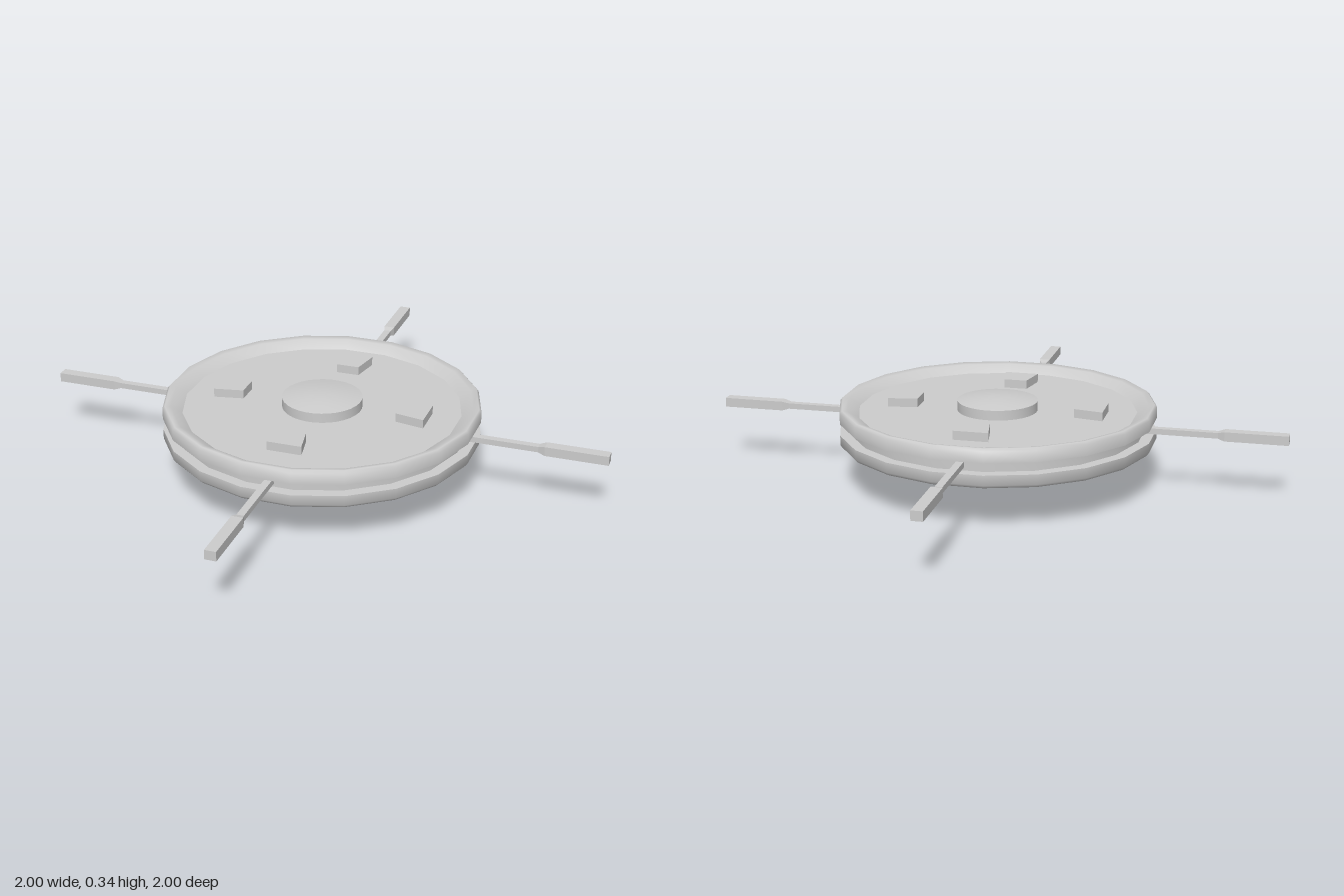
import * as THREE from 'three';
import { toCreasedNormals } from 'three/addons/utils/BufferGeometryUtils.js';

const grey = new THREE.MeshStandardMaterial({ color: 0xcccccc });

function add(parent, name, geometry) {
  const mesh = new THREE.Mesh(geometry, grey);
  mesh.name = name;
  parent.add(mesh);
  return mesh;
}

// Turned part: profile runs from bottom to top as [radius, y]
function turned(profile, sides) {
  const points = profile.map(([r, y]) => new THREE.Vector2(r, y));
  return toCreasedNormals(new THREE.LatheGeometry(points, sides), 1.1);
}

// Square bar along +z, w0 x h0 at z0 and w1 x h1 at z1
function bar(z0, w0, h0, z1, w1, h1) {
  const geo = new THREE.BoxGeometry(1, 1, 1);
  const p = geo.attributes.position;
  for (let i = 0; i < p.count; i++) {
    const end = p.getZ(i) > 0;
    p.setXYZ(i, p.getX(i) * (end ? w1 : w0), p.getY(i) * (end ? h1 : h0), end ? z1 : z0);
  }
  geo.computeVertexNormals();
  return geo;
}

export function createModel() {
  const model = new THREE.Group();
  model.name = 'spokedDisc';

  // Shaft below the disc
  add(model, 'shaft', turned([[0, 0], [0.06, 0], [0.06, 0.2], [0, 0.2]], 20));

  // Lower plate, recessed core and upper rim with a sunken panel
  add(model, 'lowerPlate', turned([
    [0, 0.163], [0.54, 0.165], [0.602, 0.17], [0.612, 0.182], [0.612, 0.22], [0.5, 0.22]], 20));
  add(model, 'core', turned([[0.57, 0.2], [0.57, 0.28]], 20));
  add(model, 'upperRim', turned([
    [0.5, 0.265], [0.612, 0.265], [0.612, 0.308], [0.603, 0.318], [0.58, 0.313], [0.537, 0.285]], 20));
  add(model, 'topPanel', turned([[0.537, 0.285], [0, 0.285]], 20));

  // Domed hub cap
  add(model, 'hubCap', turned([
    [0.155, 0.28], [0.155, 0.323], [0.105, 0.332], [0.05, 0.338], [0, 0.34]], 32));

  // Wedge-shaped block outline, wider towards the rim
  const outline = new THREE.Shape([[-0.045, 0.308], [0.045, 0.308], [0.067, 0.421], [-0.067, 0.421]]
    .map(([x, y]) => new THREE.Vector2(x, y)));
  const blockGeo = new THREE.ExtrudeGeometry(outline, { depth: 0.04, bevelEnabled: false });
  blockGeo.rotateX(Math.PI / 2).translate(0, 0.319, 0);

  // Four spokes, each in line with a block
  for (let i = 0; i < 4; i++) {
    const quarter = new THREE.Group();
    quarter.name = 'spokeAndBlock' + (i + 1);
    quarter.rotation.y = THREE.MathUtils.degToRad(27.3) + i * Math.PI / 2;
    add(quarter, 'block', blockGeo);
    const spoke = new THREE.Group();
    spoke.name = 'spoke';
    spoke.position.y = 0.243;
    add(spoke, 'spokeRod', bar(0.5, 0.028, 0.022, 0.855, 0.028, 0.022));
    add(spoke, 'spokeCollar', bar(0.85, 0.028, 0.022, 0.875, 0.043, 0.036));
    add(spoke, 'spokeTip', bar(0.875, 0.043, 0.036, 1.114, 0.043, 0.036));
    quarter.add(spoke);
    model.add(quarter);
  }
  return model;
}
